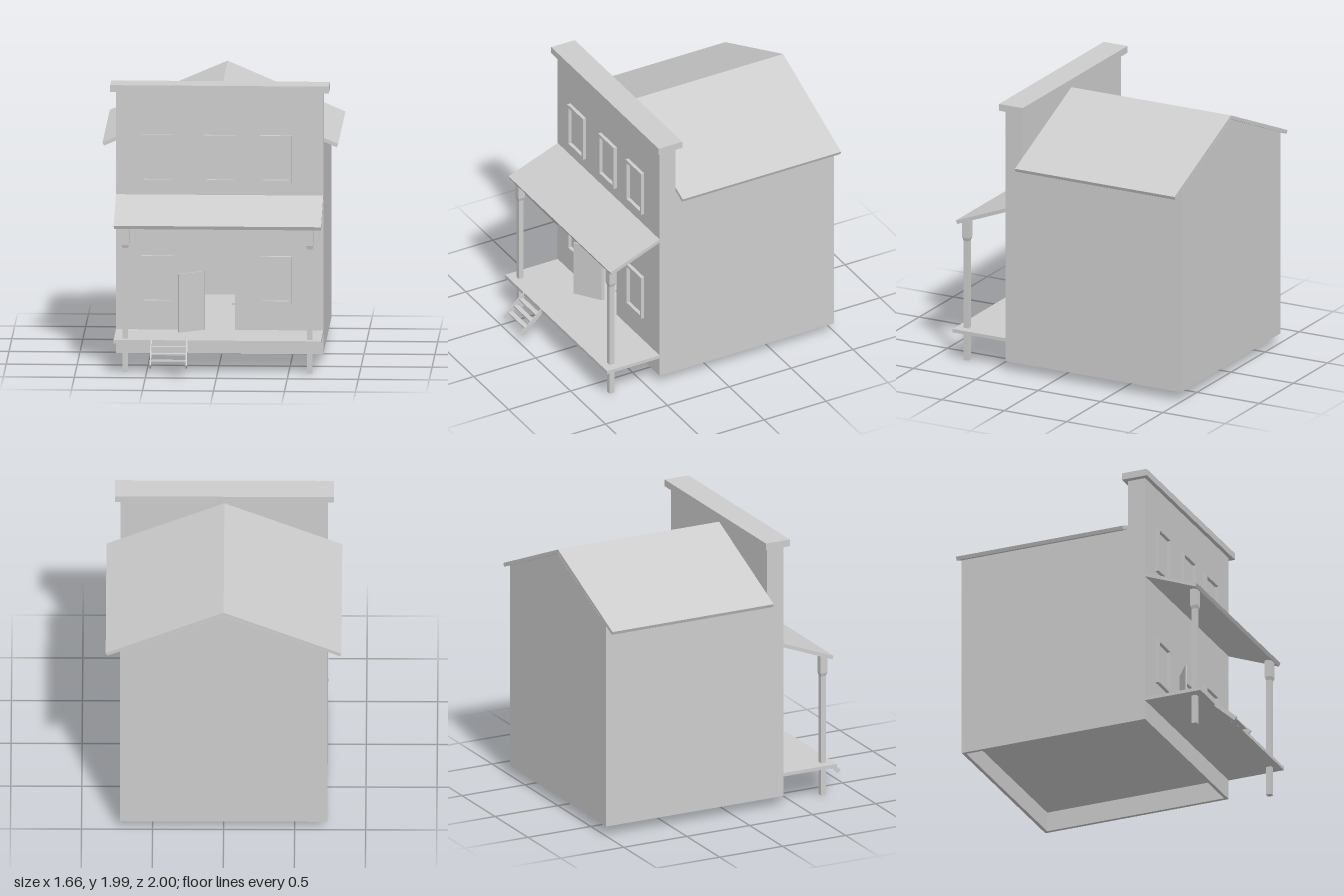
import * as THREE from 'three';

export function createModel() {
  const model = new THREE.Group();
  const grey = new THREE.MeshStandardMaterial({ color: 0xcccccc });
  grey.name = 'plain grey';

  const add = (name, geometry, parent = model) => {
    const mesh = new THREE.Mesh(geometry, grey);
    mesh.name = name;
    parent.add(mesh);
    return mesh;
  };
  // Box given by its minimum and maximum on each axis
  const box = (name, x0, x1, y0, y1, z0, z1, parent) => {
    const mesh = add(name, new THREE.BoxGeometry(x1 - x0, y1 - y0, z1 - z0), parent);
    mesh.position.set((x0 + x1) / 2, (y0 + y1) / 2, (z0 + z1) / 2);
    return mesh;
  };
  const outline = (pts) => pts.map(([x, y]) => new THREE.Vector2(x, y));
  const rect = (x0, x1, y0, y1) => outline([[x0, y0], [x1, y0], [x1, y1], [x0, y1]]);
  // Outline in x,y pushed from z0 to z1
  const slabZ = (points, z0, z1, hole) => {
    const shape = new THREE.Shape(points);
    if (hole) shape.holes.push(new THREE.Path(hole));
    return new THREE.ExtrudeGeometry(shape, { depth: z1 - z0, bevelEnabled: false }).translate(0, 0, z0);
  };
  // Outline in z,y pushed from x0 to x1
  const slabX = (pts, x0, x1) =>
    new THREE.ExtrudeGeometry(new THREE.Shape(outline(pts.map(([z, y]) => [-z, y]))),
      { depth: x1 - x0, bevelEnabled: false }).rotateY(Math.PI / 2).translate(x0, 0, 0);

  const W = 0.73, base = 0.07, t = 0.025, front = 0.41, back = -1;

  // Hollow house shell with a raised floor
  add('frontWall', slabZ(rect(-W, W, base, 1.55), front - t, front, rect(-0.105, 0.11, 0.24, 0.66)));
  add('backWall', slabZ(outline([[-W, base], [W, base], [W, 1.566], [0, 1.88], [-W, 1.566]]), back, back + t));
  for (const s of [-1, 1]) {
    const a = s * W, b = s * (W - t);
    box('sideWall', Math.min(a, b), Math.max(a, b), base, 1.566, back + t, front - t);
  }
  box('floor', -W + t, W - t, 0.215, 0.24, back + t, front - t);

  // False front rising above the roof, with its cap
  box('falseFront', -W, W, 1.55, 1.94, 0.28, front);
  box('falseFrontCap', -0.77, 0.77, 1.94, 1.99, 0.25, 0.44);

  // Gable roof
  add('gableRoof', slabZ(outline([[-0.83, 1.552], [-0.82, 1.528], [0, 1.882], [0.82, 1.528],
    [0.83, 1.552], [0, 1.91]]), back, 0.28));

  // Window frames
  const windowAt = (x, y) => add('windowFrame', slabZ(rect(x - 0.112, x + 0.112, y, y + 0.34),
    front, 0.436, rect(x - 0.094, x + 0.094, y + 0.022, y + 0.318)));
  for (const x of [-0.437, 0.005, 0.397]) windowAt(x, 1.295);
  for (const x of [-0.437, 0.397]) windowAt(x, 0.43);

  // Open door swung outward on its hinge
  const door = new THREE.Group();
  door.name = 'door';
  door.position.set(-0.105, 0.24, front);
  door.rotation.y = Math.atan2(0.125, 0.175);
  box('doorLeaf', -0.215, 0, 0, 0.42, -0.012, 0, door);
  model.add(door);
  box('doorLatch', 0.088, 0.11, 0.417, 0.43, 0.392, 0.404);

  // Porch deck, roof and posts
  box('porchDeck', -W, W, 0.215, 0.24, front, 0.835);
  add('porchRoof', slabX([[front, 1.205], [front, 1.178], [0.797, 1.026], [0.808, 1.051]], -W, W));
  for (const s of [-1, 1]) {
    const post = new THREE.Group();
    post.name = 'porchPost';
    post.position.set(s * 0.65, 0, 0.76);
    box('postShaft', -0.019, 0.019, 0, 0.9, -0.019, 0.019, post);
    // Square flare from shaft to head
    const flare = add('postFlare', new THREE.CylinderGeometry(0.0375, 0.0269, 0.025, 4, 1, true)
      .rotateY(Math.PI / 4).toNonIndexed(), post);
    flare.geometry.computeVertexNormals();
    flare.position.y = 0.9;
    box('postHead', -0.0265, 0.0265, 0.912, 1.04, -0.0265, 0.0265, post);
    model.add(post);
  }

  // Steps: two sloping strings and three treads
  const string = [[0.83, 0.24], [0.83, 0.202], [0.98, 0.065], [1.0, 0.088], [0.835, 0.24]];
  for (const x of [-0.47, -0.218]) add('stairString', slabX(string, x, x + 0.01));
  [[0.858, 0.195], [0.901, 0.153], [0.947, 0.113]].forEach(([z, y]) =>
    box('stairTread', -0.46, -0.218, y - 0.005, y + 0.005, z - 0.018, z + 0.018));

  return model;
}
